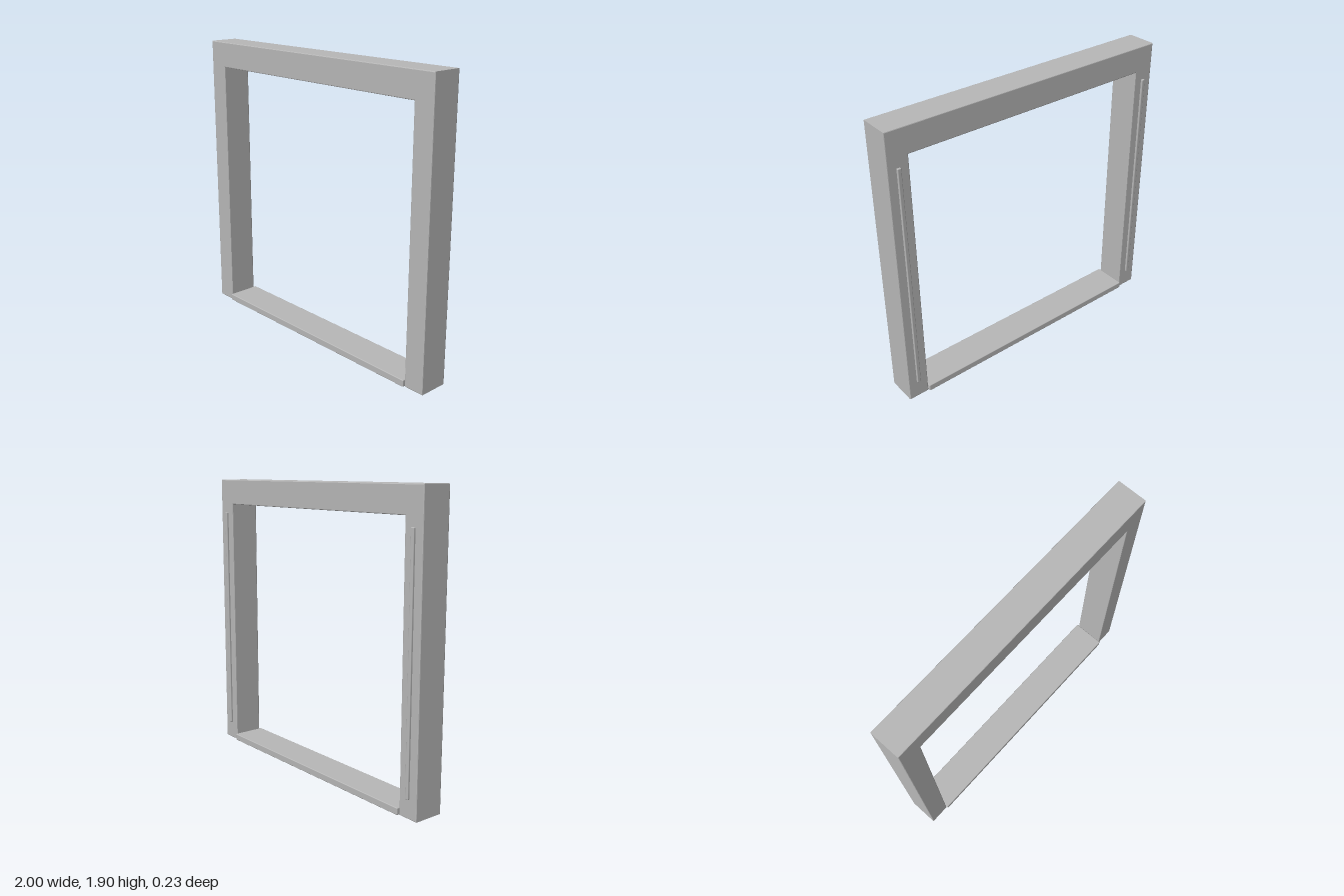
import * as THREE from 'three';
import { RoundedBoxGeometry } from 'three/addons/geometries/RoundedBoxGeometry.js';

export function createModel() {
  const group = new THREE.Group();
  group.name = 'openingFrame';
  const grey = new THREE.MeshStandardMaterial({ color: 0xb8b8b8 });
  grey.name = 'grey';

  const add = (name, geometry, x = 0, y = 0, z = 0) => {
    const mesh = new THREE.Mesh(geometry, grey);
    mesh.name = name;
    mesh.position.set(x, y, z);
    group.add(mesh);
  };

  // Two posts and a header in one piece, with finely eased edges
  const outer = 1, inner = 0.862, top = 1.9, headerBottom = 1.73;
  const depth = 0.2, bevel = 0.005;
  const outline = new THREE.Shape([
    [-outer, 0], [-inner, 0], [-inner, headerBottom], [inner, headerBottom],
    [inner, 0], [outer, 0], [outer, top], [-outer, top],
  ].map(([x, y]) => new THREE.Vector2(x, y)));
  const frame = new THREE.ExtrudeGeometry(outline, {
    depth: depth - 2 * bevel,
    bevelEnabled: true,
    bevelThickness: bevel,
    bevelSize: bevel,
    bevelOffset: -bevel,
    bevelSegments: 2,
  });
  frame.translate(0, 0, -depth / 2 + bevel);
  add('postsAndHeader', frame);

  // Threshold between the posts, proud of both faces
  add('threshold', new RoundedBoxGeometry(1.718, 0.045, 0.226, 2, 0.005), 0, 0.0225, -0.001);

  // Slim vertical strips on the back of the posts
  for (const side of [-1, 1]) {
    add(side > 0 ? 'leftBackStrip' : 'rightBackStrip',
      new RoundedBoxGeometry(0.025, 1.55, 0.022, 2, 0.005), side * 0.93, 0.895, -0.102);
  }

  return group;
}
